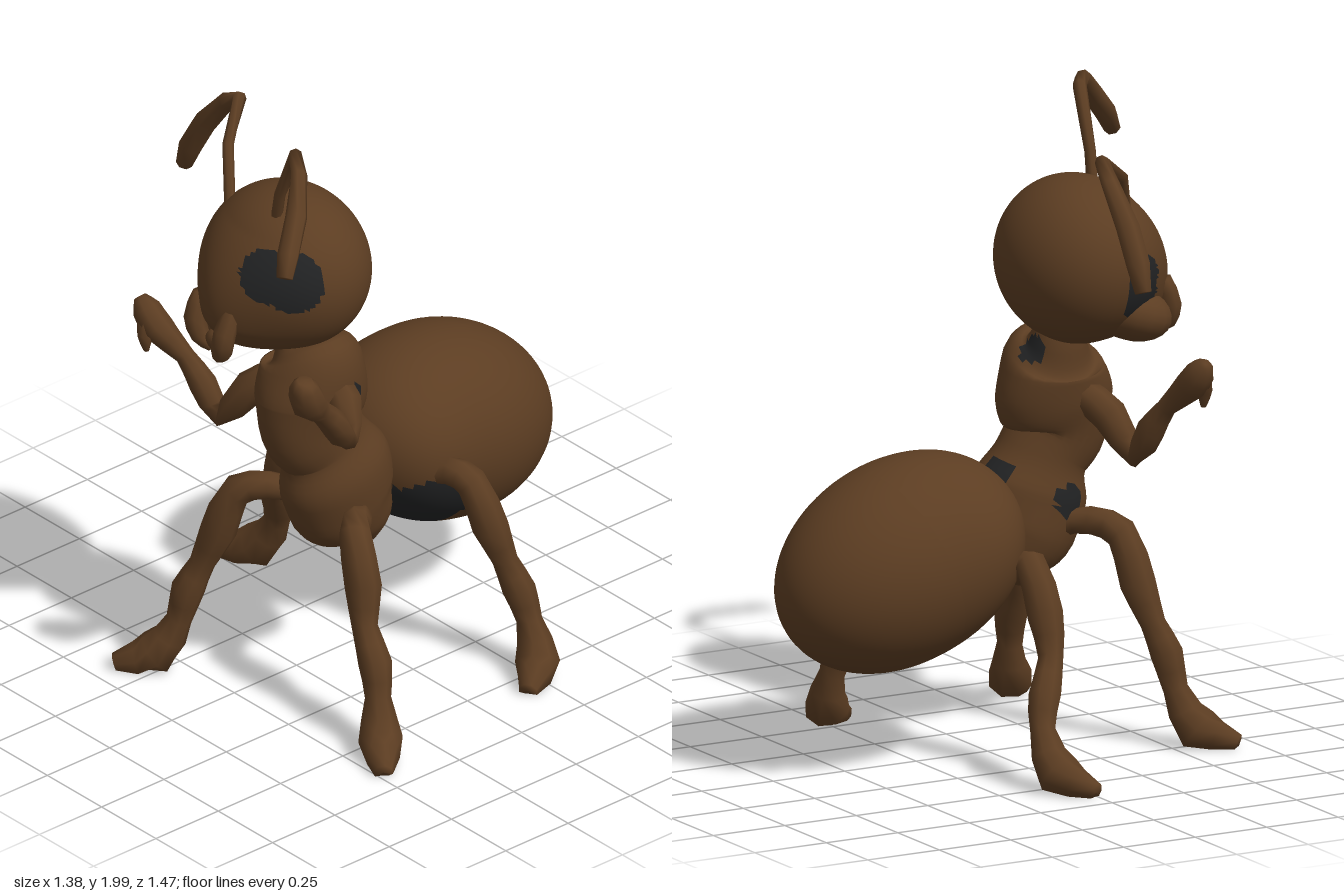
import * as THREE from 'three';

const brown = new THREE.MeshStandardMaterial({ color: 0x5c3d22 });
brown.name = 'brown shell';
const black = new THREE.MeshStandardMaterial({ color: 0x222324 });
black.name = 'black';

// Loft through rings [x, y, z, radius, depthRadius], smoothed along the path
function loft(rings, sides = 8, steps = 2, floor = -1) {
  const centres = new THREE.CatmullRomCurve3(rings.map(r => new THREE.Vector3(r[0], r[1], r[2])));
  const radii = new THREE.CatmullRomCurve3(rings.map(r => new THREE.Vector3(r[3], r[4] ?? r[3], 0)));
  const n = (rings.length - 1) * steps;
  const pos = [], index = [];
  for (let i = -1; i <= n + 1; i++) {
    const t = Math.min(Math.max(i / n, 0), 1);
    const c = centres.getPoint(t), r = radii.getPoint(t);
    if (i < 0 || i > n) r.set(0, 0, 0);
    const dir = centres.getTangent(t);
    const u = new THREE.Vector3().crossVectors(dir, new THREE.Vector3(0, 0, 1)).normalize();
    const v = new THREE.Vector3().crossVectors(dir, u);
    for (let j = 0; j < sides; j++) {
      const a = j / sides * Math.PI * 2;
      const p = c.clone().addScaledVector(u, r.x * Math.cos(a)).addScaledVector(v, r.y * Math.sin(a));
      pos.push(p.x, Math.max(p.y, floor), p.z);
    }
  }
  for (let i = 0; i < n + 2; i++) {
    for (let j = 0; j < sides; j++) {
      const k = (j + 1) % sides;
      const a = i * sides + j, b = i * sides + k, c = a + sides, d = b + sides;
      index.push(a, b, c, b, d, c);
    }
  }
  const g = new THREE.BufferGeometry();
  g.setAttribute('position', new THREE.Float32BufferAttribute(pos, 3));
  g.setIndex(index);
  g.computeVertexNormals();
  return g;
}

function egg(centre, radii, rotation = [0, 0, 0], w = 64, h = 44) {
  const g = new THREE.SphereGeometry(1, w, h);
  g.scale(...radii);
  g.applyMatrix4(new THREE.Matrix4().makeRotationFromEuler(new THREE.Euler(...rotation)));
  g.translate(...centre);
  return g;
}

// Move every vertex by a rule
function warp(g, rule) {
  const p = g.attributes.position, v = new THREE.Vector3();
  for (let i = 0; i < p.count; i++) {
    rule(v.fromBufferAttribute(p, i));
    p.setXYZ(i, v.x, v.y, v.z);
  }
  g.computeVertexNormals();
  return g;
}

// Split the faces into brown and black groups; spots are [x, y, z, radius]
function paint(g, spots) {
  const p = g.attributes.position, src = g.index.array, lists = [[], []];
  const c = new THREE.Vector3(), q = new THREE.Vector3();
  for (let i = 0; i < src.length; i += 3) {
    c.set(0, 0, 0);
    for (let k = 0; k < 3; k++) c.add(q.fromBufferAttribute(p, src[i + k]));
    c.divideScalar(3);
    const dark = spots.some(s => c.distanceTo(q.set(s[0], s[1], s[2])) < s[3]);
    lists[dark ? 1 : 0].push(src[i], src[i + 1], src[i + 2]);
  }
  g.setIndex([...lists[0], ...lists[1]]);
  g.addGroup(0, lists[0].length, 0);
  g.addGroup(lists[0].length, lists[1].length, 1);
  return g;
}

export function createModel() {
  const model = new THREE.Group();
  model.name = 'ant';
  const add = (name, geometry, material = brown) => {
    const mesh = new THREE.Mesh(geometry, material);
    mesh.name = name;
    model.add(mesh);
  };

  // Abdomen, blunter at the front, with the dark underside patch
  const abdomen = warp(egg([-0.02, 0.64, -0.325], [0.3, 0.31, 0.425], [-0.36, 0.12, 0]), v => {
    const front = THREE.MathUtils.smoothstep(v.z, -0.3, 0.05);
    v.x = -0.02 + (v.x + 0.02) * (1 + 0.2 * front);
  });
  add('abdomen', paint(abdomen, [
    [0.12, 0.48, -0.06, 0.17], [0.22, 0.53, -0.12, 0.13], [0.02, 0.45, -0.1, 0.11],
  ]), [brown, black]);

  // Two-lobed thorax and neck
  add('thorax', paint(loft([
    [0.15, 0.49, 0.13, 0.06, 0.07],
    [0.15, 0.56, 0.15, 0.11, 0.13],
    [0.15, 0.65, 0.20, 0.14, 0.18],
    [0.155, 0.76, 0.235, 0.145, 0.19],
    [0.145, 0.87, 0.275, 0.12, 0.15],
    [0.14, 0.95, 0.32, 0.125, 0.165],
    [0.135, 1.05, 0.31, 0.15, 0.187],
    [0.125, 1.17, 0.30, 0.155, 0.15],
    [0.10, 1.215, 0.30, 0.09, 0.1],
    [0.08, 1.28, 0.30, 0.06, 0.08],
  ], 28, 5), [
    [0.29, 1.06, 0.29, 0.065], [0.11, 0.83, 0.1, 0.055],
    [0.02, 0.74, 0.3, 0.055], [0.08, 1.215, 0.2, 0.045],
  ]), [brown, black]);

  // Head with the lower face drawn forward, and two large eyes
  const head = warp(egg([0.067, 1.485, 0.345], [0.278, 0.258, 0.238], [0, 0, 0.12], 96, 64), v => {
    const low = THREE.MathUtils.clamp((1.66 - v.y) / 0.3, 0, 1);
    const forward = THREE.MathUtils.smoothstep(v.z, 0.35, 0.52);
    v.z += 0.075 * low * forward * Math.exp(-(((v.x - 0.03) / 0.16) ** 2));
  });
  add('head', paint(head, [
    [0.185, 1.56, 0.53, 0.085], [0.255, 1.55, 0.485, 0.095],
    [-0.165, 1.46, 0.44, 0.075], [-0.16, 1.40, 0.44, 0.075],
  ]), [brown, black]);
  add('cheek', egg([-0.07, 1.33, 0.46], [0.11, 0.085, 0.13], [0.3, -0.3, 0], 16, 12));
  add('leftMandible', loft([
    [0.1, 1.46, 0.57, 0.025], [0.1, 1.36, 0.625, 0.035], [0.09, 1.29, 0.63, 0.033], [0.05, 1.25, 0.61, 0.012]]));
  add('rightMandible', loft([
    [-0.06, 1.42, 0.58, 0.025], [-0.06, 1.34, 0.605, 0.035], [-0.04, 1.28, 0.6, 0.03], [0, 1.25, 0.59, 0.012]]));
  add('mouth', egg([0.02, 1.285, 0.585], [0.045, 0.035, 0.03], [0, 0, 0], 10, 8));

  // Bent antennae with thicker ends
  add('leftAntenna', loft([
    [0.1, 1.62, 0.43, 0.018], [0.14, 1.79, 0.44, 0.018], [0.23, 1.975, 0.455, 0.022],
    [0.32, 1.97, 0.52, 0.026], [0.4, 1.89, 0.6, 0.034], [0.455, 1.81, 0.68, 0.034],
    [0.48, 1.755, 0.715, 0.026]], 7, 1));
  add('rightAntenna', loft([
    [-0.1, 1.6, 0.43, 0.018], [-0.19, 1.79, 0.36, 0.018], [-0.275, 1.87, 0.24, 0.022],
    [-0.35, 1.82, 0.225, 0.028], [-0.45, 1.7, 0.23, 0.037], [-0.51, 1.6, 0.23, 0.037],
    [-0.54, 1.52, 0.23, 0.026]], 7, 1));

  // Raised arms
  add('leftArm', loft([
    [0.22, 1.1, 0.29, 0.05], [0.29, 1.08, 0.31, 0.055], [0.345, 0.99, 0.35, 0.037],
    [0.37, 1.08, 0.42, 0.045], [0.385, 1.16, 0.49, 0.035], [0.41, 1.23, 0.56, 0.056],
    [0.425, 1.3, 0.59, 0.045], [0.43, 1.325, 0.59, 0.025]]));
  add('rightArm', loft([
    [0.03, 1.08, 0.34, 0.05], [-0.05, 1.01, 0.4, 0.055], [-0.13, 0.9, 0.44, 0.037],
    [-0.19, 0.99, 0.46, 0.044], [-0.25, 1.07, 0.48, 0.03], [-0.33, 1.15, 0.52, 0.05],
    [-0.37, 1.2, 0.53, 0.045], [-0.4, 1.23, 0.53, 0.02]]));
  add('rightFinger', loft([
    [-0.36, 1.19, 0.53, 0.035], [-0.34, 1.13, 0.56, 0.025], [-0.335, 1.08, 0.56, 0.008]], 6));

  // Legs: hip, knee, shin, narrow joint, calf, ankle, toe
  const legRadii = [0.045, 0.045, 0.05, 0.057, 0.04, 0.052, 0.04, 0.07, 0.03];
  const legs = {
    leftFrontLeg: [[0.2, 0.62, 0.22], [0.28, 0.65, 0.25], [0.36, 0.66, 0.33], [0.41, 0.5, 0.34],
      [0.44, 0.38, 0.36], [0.5, 0.28, 0.37], [0.53, 0.18, 0.385], [0.57, 0.06, 0.41], [0.675, 0.02, 0.49]],
    rightFrontLeg: [[0.08, 0.66, 0.28], [0, 0.68, 0.36], [-0.08, 0.65, 0.42], [-0.13, 0.5, 0.45],
      [-0.17, 0.38, 0.48], [-0.2, 0.29, 0.51], [-0.22, 0.18, 0.53], [-0.27, 0.06, 0.58], [-0.355, 0.02, 0.67]],
    leftRearLeg: [[0.18, 0.62, -0.08], [0.28, 0.67, -0.12], [0.35, 0.65, -0.145], [0.4, 0.5, -0.18],
      [0.42, 0.38, -0.22], [0.45, 0.28, -0.25], [0.48, 0.18, -0.265], [0.53, 0.06, -0.255], [0.595, 0.02, -0.16]],
    rightRearLeg: [[0.0, 0.58, 0.03], [-0.15, 0.6, 0.005], [-0.26, 0.64, 0.0], [-0.33, 0.5, 0.01],
      [-0.38, 0.38, 0], [-0.43, 0.28, -0.05], [-0.47, 0.18, -0.08], [-0.55, 0.06, -0.07], [-0.67, 0.02, -0.01]],
  };
  for (const [name, path] of Object.entries(legs)) {
    add(name, loft(path.map((p, i) => [...p, legRadii[i]]), 8, 2, 0.005));
  }

  return model;
}
